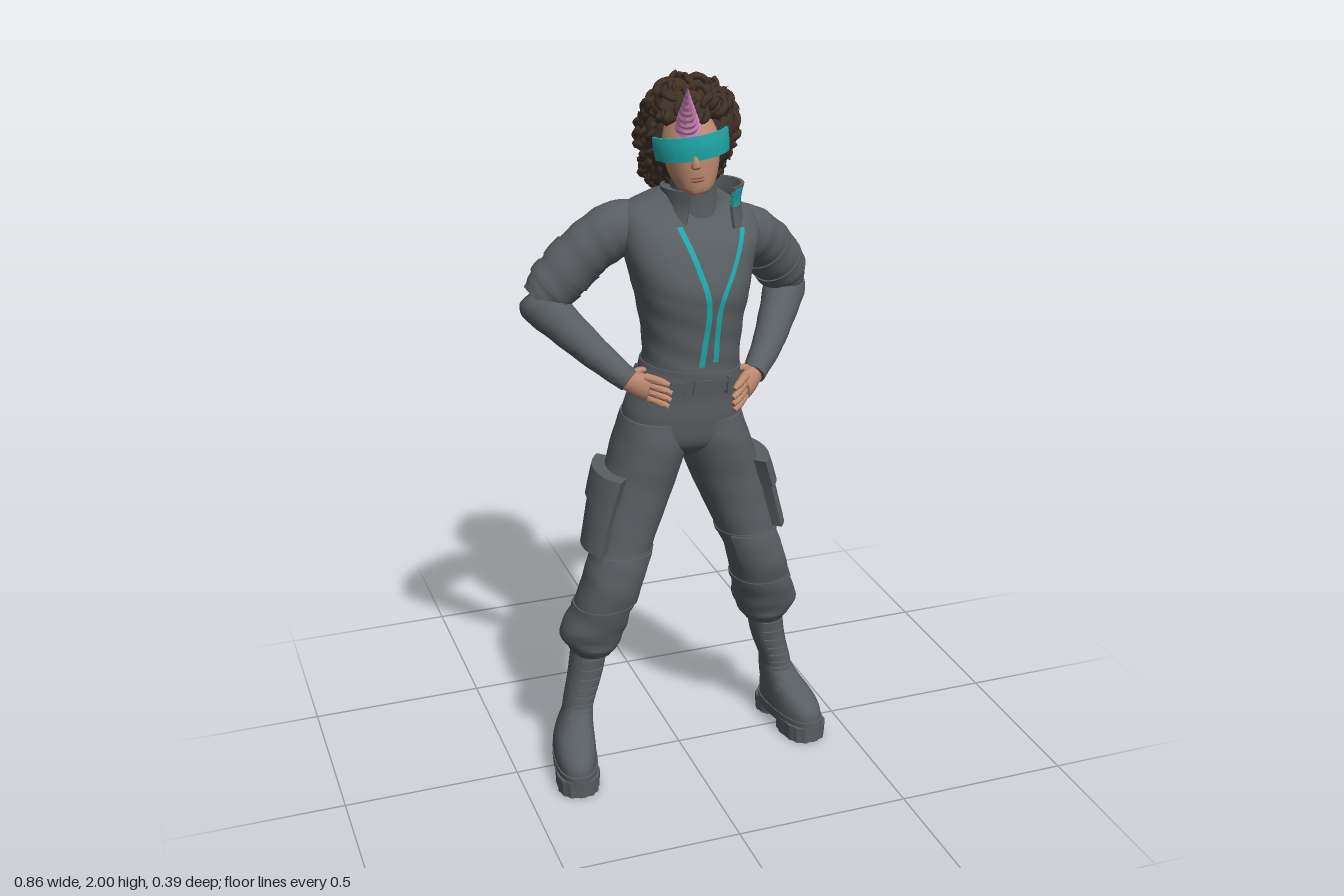
import * as THREE from 'three';
import { mergeVertices, mergeGeometries, toCreasedNormals } from 'three/addons/utils/BufferGeometryUtils.js';

const paint = (name, color, side = THREE.FrontSide) => {
  const m = new THREE.MeshStandardMaterial({ color, side });
  m.name = name;
  return m;
};
const PI = Math.PI, V = (x, y, z) => new THREE.Vector3(x, y, z);

// Surface swept through rows [x, y, z, radiusA, radiusB]; u counts rows, a is the angle (front = PI/2).
function sweep(rows, { flat = true, power = 2, slope = 0, fold = () => 0 } = {}) {
  const path = new THREE.CatmullRomCurve3(rows.map(r => V(r[0], r[1], r[2])), false, 'catmullrom', 0.5);
  const radii = new THREE.CatmullRomCurve3(rows.map(r => V(r[3], r[4], 0)), false, 'catmullrom', 0.5);
  const last = rows.length - 1;
  const at = (u, a, off = 0, k = 1) => {
    const c = path.getPoint(u / last), r = radii.getPoint(u / last);
    const bend = v => Math.sign(v) * Math.pow(Math.abs(v), 2 / power);
    const f = k * (1 + fold(u, a));
    const p = (r.x * f + off) * bend(Math.cos(a)), q = (r.y * f + off) * bend(Math.sin(a));
    if (flat) return V(c.x + p, c.y + slope * p, c.z + q);
    const t = path.getTangent(u / last), n = t.clone().cross(V(0, 0, 1)).normalize();
    return c.addScaledVector(n, p).addScaledVector(t.cross(n), q);
  };
  return { at, last };
}

function grid(nu, na, point, outward) {
  const pos = [], idx = [];
  for (let i = 0; i <= nu; i++) for (let j = 0; j <= na; j++) pos.push(...point(i, j).toArray());
  const i = nu >> 1, j = na >> 1, o = point(i, j);
  const n = point(i + 1, j).sub(o).cross(point(i, j + 1).sub(o));
  const flip = n.dot(outward) < 0;
  for (let r = 0; r < nu; r++) for (let c = 0; c < na; c++) {
    const p = r * (na + 1) + c, q = p + na + 1;
    idx.push(...(flip ? [p, p + 1, q, q, p + 1, q + 1] : [p, q, p + 1, q, q + 1, p + 1]));
  }
  const g = new THREE.BufferGeometry();
  g.setAttribute('position', new THREE.Float32BufferAttribute(pos, 3));
  g.setIndex(idx);
  return toCreasedNormals(mergeVertices(g, 1e-5), 0.85);
}

// Closed body with capped ends
function body(s, steps = 6, sides = 32) {
  const n = s.last * steps;
  const pt = (i, j) => s.at(Math.min(Math.max((i - 1) / steps, 0), s.last), j / sides * 2 * PI, 0, i === 0 || i === n + 2 ? 0 : 1);
  const u = ((n + 2 >> 1) - 1) / steps, a = (sides >> 1) / sides * 2 * PI;
  return grid(n + 2, sides, pt, s.at(u, a, 0.1).sub(s.at(u, a)));
}

// Raised plate lying on part of a swept surface
function plate(s, u0, u1, a0, a1, off, nu = 8, na = 14) {
  const lerp = (i, n, p, q) => p + (q - p) * Math.min(Math.max((i - 1) / n, 0), 1);
  const pt = (i, j) => {
    const rim = i === 0 || j === 0 || i === nu + 2 || j === na + 2;
    return s.at(lerp(i, nu, u0, u1), lerp(j, na, a0, a1), rim ? -0.004 : off);
  };
  const u = (u0 + u1) / 2, a = (a0 + a1) / 2;
  return grid(nu + 2, na + 2, pt, s.at(u, a, 0.1).sub(s.at(u, a)));
}

// Point on the front of a swept surface at a given x and y
function onFront(s, x, y, off) {
  let u = s.last / 2, a = PI / 2;
  const solve = (lo, hi, tooSmall) => {
    for (let k = 0; k < 24; k++) { const m = (lo + hi) / 2; if (tooSmall(m)) lo = m; else hi = m; }
    return lo;
  };
  for (let k = 0; k < 4; k++) {
    u = solve(0, s.last, m => s.at(m, a).y > y);
    a = solve(0, PI, m => s.at(u, m).x > x);
  }
  return s.at(u, a, off);
}

export function createModel() {
  const root = new THREE.Group();
  const suit = paint('charcoal fabric', 0x595e62, THREE.DoubleSide), teal = paint('teal', 0x1fa6a7, THREE.DoubleSide);
  const hair = paint('dark brown hair', 0x403127), skin = paint('skin', 0xbc8a6f);
  const pink = paint('pink horn', 0xe08fc8), lip = paint('lips', 0xa0695a);
  const add = (name, geo, mat, parent = root) => {
    const m = new THREE.Mesh(geo, mat);
    m.name = name;
    parent.add(m);
    return m;
  };

  // Jacket, shirt neck and collar
  const torso = sweep([[.035, 1.70, .002, .07, .065], [.03, 1.672, -.014, .125, .074], [.03, 1.635, -.015, .185, .09],
    [.03, 1.58, .006, .192, .117], [.02, 1.52, .023, .178, .131], [.02, 1.45, .032, .161, .143], [.02, 1.36, .036, .142, .13],
    [.02, 1.27, .04, .133, .118], [.015, 1.2, .042, .137, .114]],
  { slope: -.1, power: 2.15, fold: (u, a) => u > 5 ? .008 * Math.sin(u * 7 + a * 3) : 0 });
  add('jacket', body(torso, 7, 44), suit);
  add('jacketHem', plate(torso, 7.55, 8, 0, 2 * PI, .004, 4, 44), suit);
  add('backPanel', plate(torso, 3.4, 4.8, -PI / 2 - .4, -PI / 2 + .4, .004), suit);
  add('shirtNeck', body(sweep([[.037, 1.58, 0, .085, .08], [.037, 1.66, .012, .066, .064], [.032, 1.735, .02, .06, .06]])), suit);
  const collar = sweep([[.055, 1.6, .008, .118, .098], [.057, 1.66, .01, .104, .088], [.06, 1.71, .015, .108, .09]]);
  add('collar', plate(collar, 0, 2, PI / 2 + .6, PI * 2.5 - .6, .005, 8, 40), suit);
  add('collarTrim', plate(collar, .95, 1.9, PI / 2 - .95, PI / 2 - .6, .008, 6, 5), teal);

  // Zip tapes down the chest
  for (const line of [[[-.03, 1.62], [0, 1.52], [.022, 1.42], [.008, 1.25]], [[.145, 1.6], [.1, 1.51], [.058, 1.43], [.045, 1.26]]]) {
    const c = new THREE.CatmullRomCurve3(line.map(p => V(p[0], p[1], 0)));
    add('zipTape', grid(30, 1, (i, j) => {
      const p = c.getPoint(Math.min(i / 30, 1));
      return onFront(torso, p.x + (j - .5) * .015, p.y, .006);
    }, V(0, 0, 1)), teal);
  }

  // Trousers top, belt and rear pockets
  const pelvis = sweep([[.015, 1.215, .04, .134, .112], [.01, 1.15, .02, .146, .124], [.005, 1.08, .012, .167, .128],
    [0, 1.01, .01, .155, .115], [0, .965, .012, .05, .06]], { slope: -.06, power: 2.2 });
  add('hips', body(pelvis, 7, 40), suit);
  add('belt', plate(pelvis, .1, .65, 0, 2 * PI, .007, 4, 44), suit);
  for (let k = 0; k < 8; k++) add('beltLoop', plate(pelvis, 0, .8, k * PI / 4 + .2, k * PI / 4 + .3, .012, 3, 2), suit);
  add('buckle', plate(pelvis, .05, .7, PI / 2 - .15, PI / 2 + .15, .014, 3, 4), suit);
  for (const s of [-1, 1]) {
    const mid = -PI / 2 + s * .6;
    add('rearPocket', plate(pelvis, 1.3, 2.6, mid - .33, mid + .33, .006), suit);
  }

  // Legs and boots
  const legRows = [[.08, 1.08, .014, .086, .116], [.093, 1, .012, .1, .124], [.123, .9, .018, .102, .107], [.156, .8, .027, .095, .095],
    [.187, .7, .038, .085, .087], [.213, .62, .044, .082, .087], [.24, .52, .027, .084, .088], [.264, .44, .006, .094, .086],
    [.264, .39, .004, .073, .073], [.264, .365, .002, .054, .058]];
  const bootRows = [[.264, .43, -.006, .055, .06], [.283, .3, -.01, .05, .057], [.309, .2, -.004, .044, .055], [.318, .13, 0, .043, .055]];
  for (const s of [-1, 1]) {
    const side = s > 0 ? 'left' : 'right', out = s > 0 ? 0 : PI;
    const place = r => [s * (r[0] + (s > 0 ? .022 * (1 - r[1]) : 0)), r[1], r[2] - (s > 0 ? .055 * (1 - r[1]) : 0), r[3], r[4]];
    const leg = sweep(legRows.map(place), { power: 2.15,
      fold: (u, a) => (u > 4 ? .022 : .007) * Math.sin(u * 6 + 2 * Math.sin(a + s)) * Math.sin(a * 2 + u) });
    add(side + 'TrouserLeg', body(leg, 8, 36), suit);
    add(side + 'CargoPocket', plate(leg, 1.9, 3.85, out - .78, out + .78, .028), suit);
    add(side + 'PocketFlap', plate(leg, 1.7, 2.5, out - .82, out + .82, .036), suit);
    add(side + 'KneePad', plate(leg, 4, 5.7, PI / 2 - .8, PI / 2 + .8, .011), suit);
    for (const u of [3.95, 5.85]) add(side + 'KneeBand', plate(leg, u, u + .15, 0, 2 * PI, .004, 3, 36), suit);

    const shaft = sweep(bootRows.map(place));
    add(side + 'BootShaft', body(shaft), suit);
    for (let k = 0; k < 9; k++) add(side + 'Lace', plate(shaft, .55 + k * .26, .65 + k * .26, PI / 2 - .6, PI / 2 + .6, .006, 2, 8), suit);
    const foot = new THREE.Group();
    foot.name = side + 'Foot';
    foot.position.set(s > 0 ? .347 : -.33, 0, s > 0 ? -.048 : 0);
    foot.rotation.y = s * .17;
    root.add(foot);
    add('bootUpper', body(sweep([[0, .05, .053, .06, .137], [0, .09, .05, .06, .133], [-s * .003, .12, .036, .056, .114], [-s * .01, .15, .01, .049, .084],
      [-s * .02, .19, -.004, .042, .058], [-s * .028, .23, -.009, .034, .046]], { power: 2.3 }), 5), suit, foot);
    add('midsole', body(sweep([[0, .035, .053, .062, .14], [0, .065, .053, .063, .141]], { power: 2.4 }), 2, 40), suit, foot);
    const tread = { power: 2.5, fold: (u, a) => .02 * Math.sign(Math.sin(a * 14)) };
    add('frontSole', body(sweep([[0, 0, .113, .06, .078], [0, .05, .113, .062, .08]], tread), 2, 84), suit, foot);
    add('heel', body(sweep([[0, 0, -.043, .05, .044], [0, .05, -.043, .052, .046]], tread), 2, 84), suit, foot);
  }

  // Arms: puffed upper sleeve, tight forearm, hand on hip
  const arms = {
    right: { upper: [[-.1, 1.595, -.03, .07, .07], [-.165, 1.592, -.035, .076, .073], [-.245, 1.54, -.047, .074, .068], [-.335, 1.45, -.058, .07, .062], [-.378, 1.412, -.06, .05, .05]],
      fore: [[-.388, 1.43, -.07, .04, .04], [-.371, 1.405, -.06, .06, .057], [-.32, 1.35, -.02, .053, .051], [-.25, 1.28, .04, .043, .042], [-.175, 1.213, .1, .032, .033]], tip: V(-.082, 1.188, .172) },
    left: { upper: [[.12, 1.555, -.02, .07, .07], [.185, 1.553, -.03, .08, .076], [.262, 1.51, -.07, .075, .07], [.345, 1.415, -.12, .07, .064], [.373, 1.36, -.14, .05, .05]],
      fore: [[.38, 1.38, -.155, .04, .04], [.37, 1.352, -.142, .06, .057], [.322, 1.29, -.08, .053, .051], [.26, 1.23, 0, .043, .042], [.19, 1.178, .075, .032, .033]], tip: V(.095, 1.148, .162) },
  };
  for (const [side, arm] of Object.entries(arms)) {
    const upper = sweep(arm.upper, { flat: false, fold: (u, a) => u > 1.2 ? .018 * Math.sin(u * 11 + a) : 0 });
    add(side + 'Sleeve', body(upper, 9, 28), suit);
    for (const u of [2.2, 2.75]) add(side + 'SleeveRoll', plate(upper, u, u + .4, 0, 2 * PI, .004, 4, 28), suit);
    add(side + 'Forearm', body(sweep(arm.fore, { flat: false, fold: (u, a) => .012 * Math.sin(u * 9 + a) }), 7, 24), suit);
    const [x, y, z] = arm.fore[4], wrist = V(x, y, z), reach = arm.tip.clone().sub(wrist);
    const along = (t, dy, dz) => wrist.clone().addScaledVector(reach, t).add(V(0, dy, dz)).toArray();
    const strand = (...pts) => body(sweep(pts, { flat: false }), 5, 12);
    add(side + 'Palm', strand([...along(-.15, 0, 0), .026, .022], [...along(.2, 0, .004), .033, .022], [...along(.5, 0, .004), .037, .018]), skin);
    for (let k = 0; k < 4; k++) {
      const dy = .027 - k * .018;
      add(side + 'Finger', strand([...along(.38, dy, .004), .012, .012], [...along(.72, dy * 1.1, .01), .011, .011],
        [...along(1.02 - Math.abs(k - 1.3) * .06, dy * 1.15 - .005, .004), .007, .007]), skin);
    }
    add(side + 'Thumb', strand([...along(.05, .01, -.01), .013, .013], [...along(.3, .032, -.025), .011, .011], [...along(.5, .036, -.045), .007, .007]), skin);
  }

  // Head with visor
  const head = new THREE.Group();
  head.name = 'head';
  head.position.set(.025, 1.803, .018);
  head.rotation.set(0, -.22, .12);
  root.add(head);
  add('face', body(sweep([[0, -.1, .062, .024, .028], [0, -.085, .048, .046, .05], [0, -.045, .025, .066, .078], [0, 0, .01, .075, .095],
    [0, .04, .006, .078, .096], [0, .09, -.005, .066, .085]]), 6, 32), skin, head);
  add('nose', body(sweep([[0, .03, .096, .008, .008], [0, -.005, .105, .01, .012], [0, -.02, .106, .014, .013], [0, -.028, .1, .008, .006]]), 4, 12), skin, head);
  for (const [y, h] of [[-.05, .005], [-.058, .006]]) {
    const m = add('lip', new THREE.SphereGeometry(1, 16, 10), lip, head);
    m.position.set(0, y, .096);
    m.scale.set(.02, h, .008);
  }
  const band = sweep([[0, .058, .006, .104, .102], [0, .028, .008, .105, .103], [0, -.004, .008, .102, .101]]);
  add('visor', plate(band, 0, 2, PI / 2 - 1.2, PI / 2 + 1.2, .002, 6, 30), teal, head);
  add('visorRim', plate(band, .02, .4, PI / 2 - 1.15, PI / 2 + 1.15, .005, 3, 30), teal, head);

  // Spiralled horn
  const base = V(-.008, 1.878, .088), tip = V(-.045, 2, .192), dir = tip.clone().sub(base);
  const hornRows = [0, .2, .4, .6, .8, 1].map(t => [0, t * dir.length(), 0, .033 * (1 - t) + .001, .033 * (1 - t) + .001]);
  const horn = add('horn', body(sweep(hornRows, { fold: (u, a) => .07 * Math.sin(u * 10 + a) }), 12, 20), pink);
  horn.position.copy(base);
  horn.quaternion.setFromUnitVectors(V(0, 1, 0), dir.normalize());

  // Curly hair: lumpy lobes (crown, fringe, nape) with loose ringlets of uneven depth
  let seed = 7;
  const rand = () => (seed = (seed * 16807) % 2147483647) / 2147483647;
  const curls = [], lobes = [
    { name: 'hairCrown', centre: V(.038, 1.838, -.046), size: V(.127, .14, .122), count: 190, keep: d => d.z < .42 || d.y > .5 },
    { name: 'hairFringe', centre: V(.022, 1.916, .016), size: V(.106, .044, .074), count: 60, keep: d => d.z > -.1 && d.y > -.5 },
    { name: 'hairNape', centre: V(.042, 1.745, -.086), size: V(.108, .085, .072), count: 105, keep: d => d.z < .3 && d.y < .6 }];
  for (const { name, centre, size, count, keep } of lobes) {
    const lobe = new THREE.SphereGeometry(1, 48, 32), lp = lobe.attributes.position;
    for (let i = 0; i < lp.count; i++) {
      const d = V().fromBufferAttribute(lp, i);
      const lump = 1 + .04 * Math.sin(d.x * 13 + d.y * 5) * Math.sin(d.y * 14 + d.z * 4) * Math.cos(d.z * 12);
      d.multiplyScalar(lump).multiply(size).add(centre);
      lp.setXYZ(i, d.x, d.y, d.z);
    }
    lobe.computeVertexNormals();
    add(name, lobe, hair);
    for (let k = 0; k < count; k++) {
      const y = 1 - 2 * (k + .5) / count, ring = Math.sqrt(1 - y * y), a = k * 2.39996;
      const d = V(Math.cos(a) * ring, y, Math.sin(a) * ring);
      if (!keep(d)) continue;
      const start = d.clone().multiply(size).add(centre), depth = rand() * .013 - .01;
      const down = V(rand() - .5, -.7, rand() - .5).projectOnPlane(d).normalize(), across = d.clone().cross(down);
      const turn = rand() * 6, long = .035 + rand() * .03, wide = .008 + rand() * .009, pts = [];
      for (let i = 0; i <= 8; i++) {
        const t = i / 8, w = turn + t * 6;
        pts.push(start.clone().addScaledVector(down, (t - .45) * long).addScaledVector(across, Math.cos(w) * wide)
          .addScaledVector(d, Math.sin(w) * wide * .8 + depth));
      }
      curls.push(new THREE.TubeGeometry(new THREE.CatmullRomCurve3(pts), 16, .007 + rand() * .004, 6));
    }
  }
  add('hairCurls', mergeGeometries(curls), hair);
  return root;
}
